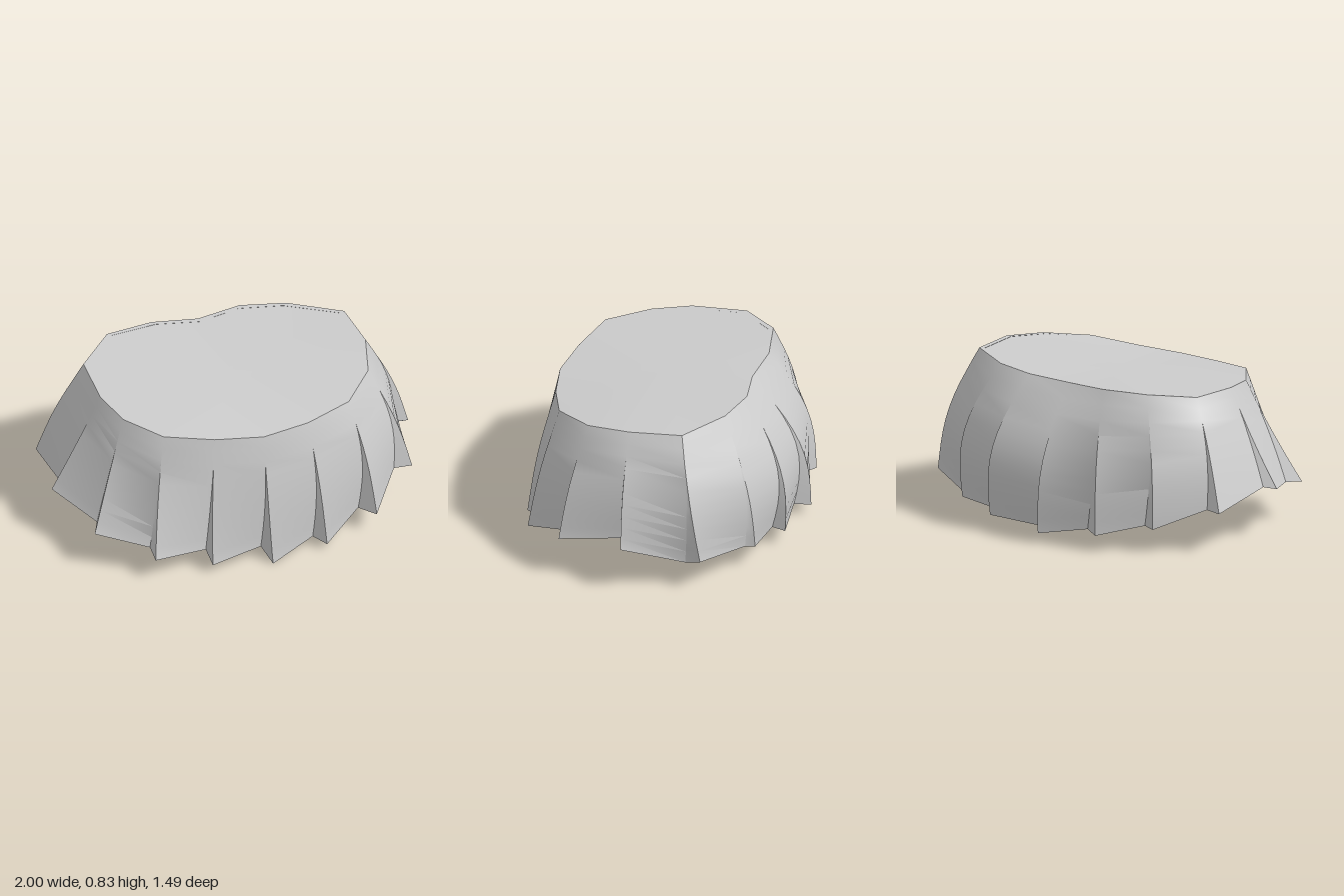
import * as THREE from 'three';
import { toCreasedNormals } from 'three/addons/utils/BufferGeometryUtils.js';

// Waist rim, one point per pleat, counterclockwise from the front centre: x, y, z
const RIM = [
  [0.02, 0.74, 0.61], [0.28, 0.75, 0.57], [0.53, 0.78, 0.49], [0.70, 0.81, 0.29],
  [0.76, 0.835, 0.05], [0.73, 0.835, -0.23], [0.46, 0.83, -0.40], [0.22, 0.825, -0.46],
  [-0.02, 0.81, -0.43], [-0.27, 0.82, -0.46], [-0.53, 0.825, -0.42], [-0.72, 0.80, -0.23],
  [-0.72, 0.79, 0.07], [-0.66, 0.775, 0.28], [-0.50, 0.77, 0.49], [-0.24, 0.75, 0.57],
];
// Outer hem corner of each pleat
const TIP = [
  [0.03, 0.0, 0.74], [0.34, 0.04, 0.71], [0.64, 0.12, 0.635], [0.91, 0.22, 0.40],
  [1.0, 0.25, 0.04], [0.90, 0.175, -0.37], [0.57, 0.12, -0.59], [0.31, 0.085, -0.69],
  [-0.05, 0.055, -0.745], [-0.39, 0.085, -0.69], [-0.66, 0.13, -0.54], [-0.95, 0.22, -0.34],
  [-1.0, 0.27, 0.10], [-0.88, 0.21, 0.48], [-0.61, 0.13, 0.70], [-0.30, 0.05, 0.725],
];
// Inner hem corner where each pleat tucks under the next
const NOTCH = [
  [0.28, 0.06, 0.645], [0.56, 0.13, 0.56], [0.81, 0.22, 0.395], [0.91, 0.27, 0.06],
  [0.86, 0.14, -0.28], [0.59, 0.125, -0.54], [0.31, 0.10, -0.62], [-0.01, 0.07, -0.66],
  [-0.31, 0.10, -0.65], [-0.60, 0.14, -0.53], [-0.87, 0.23, -0.34], [-0.94, 0.28, 0.06],
  [-0.84, 0.22, 0.39], [-0.62, 0.17, 0.63], [-0.31, 0.09, 0.63], [-0.01, 0.06, 0.65],
];
const COUNT = RIM.length, ROWS = 10, THICK = 0.03;
const vec = (p) => new THREE.Vector3(...p);

// Triangles that collapse to a line are dropped
function addTri(out, a, b, c) {
  const area = b.clone().sub(a).cross(c.clone().sub(a)).length();
  if (area > 1e-7) for (const p of [a, b, c]) out.push(p.x, p.y, p.z);
}

function addQuad(out, a, b, c, d) {
  addTri(out, a, b, c);
  addTri(out, a, c, d);
}

function makeMesh(name, positions, material, crease) {
  const geometry = new THREE.BufferGeometry();
  geometry.setAttribute('position', new THREE.Float32BufferAttribute(positions, 3));
  const mesh = new THREE.Mesh(toCreasedNormals(geometry, crease), material);
  mesh.name = name;
  return mesh;
}

// One vertical line of cloth from rim to hem; pleats open gradually towards the hem
function makeColumn(rim, hem, partner) {
  const middle = hem.clone().add(partner).multiplyScalar(0.5);
  const out = new THREE.Vector3(rim.x, 0, rim.z).normalize();
  const bulge = 0.02 + 0.09 * Math.max(0, -out.z) + 0.02 * out.x;
  const column = [];
  for (let r = 0; r <= ROWS; r++) {
    const t = r / ROWS;
    const open = t <= 0.2 ? 0 : Math.pow((t - 0.2) / 0.8, 0.8);
    const target = middle.clone().lerp(hem, open);
    column.push(rim.clone().lerp(target, t).addScaledVector(out, bulge * Math.sin(Math.PI * t)));
  }
  return column;
}

// Offset towards the vertical axis, for the lining
function inset(p) {
  const radius = Math.hypot(p.x, p.z), k = (radius - THICK) / radius;
  return new THREE.Vector3(p.x * k, p.y, p.z * k);
}

export function createModel() {
  const model = new THREE.Group();
  model.name = 'pleatedSkirt';
  const cloth = new THREE.MeshStandardMaterial({ color: 0xcccccc });
  cloth.name = 'light grey cloth';

  // Two columns per pleat: its tip and its notch
  const columns = [];
  for (let i = 0; i < COUNT; i++) {
    const next = (i + 1) % COUNT, prev = (i + COUNT - 1) % COUNT;
    columns.push(makeColumn(vec(RIM[i]), vec(TIP[i]), vec(NOTCH[prev])));
    columns.push(makeColumn(vec(RIM[next]), vec(NOTCH[i]), vec(TIP[next])));
  }
  const lining = columns.map((column) => column.map(inset));

  // Outer cloth, lining and hem edge
  const outer = [], inner = [], hem = [];
  columns.forEach((a, i) => {
    const j = (i + 1) % columns.length;
    const b = columns[j], c = lining[i], d = lining[j];
    for (let r = 0; r < ROWS; r++) {
      addQuad(outer, a[r], a[r + 1], b[r + 1], b[r]);
      addQuad(inner, c[r], d[r], d[r + 1], c[r + 1]);
    }
    addQuad(hem, a[ROWS], c[ROWS], d[ROWS], b[ROWS]);
  });
  model.add(makeMesh('pleatedCloth', outer, cloth, 0.7));
  model.add(makeMesh('lining', inner, cloth, 0.9));
  model.add(makeMesh('hemEdge', hem, cloth, 0.3));

  // Waist cap, closed above and below
  const top = [], under = [];
  const centre = new THREE.Vector3(0, 0.79, 0.05);
  const drop = new THREE.Vector3(0, -THICK, 0);
  for (let i = 0; i < COUNT; i++) {
    const a = vec(RIM[i]), b = vec(RIM[(i + 1) % COUNT]);
    addTri(top, centre, a, b);
    addTri(under, centre.clone().add(drop), inset(b).add(drop), inset(a).add(drop));
  }
  model.add(makeMesh('waistCap', top, cloth, 0.5));
  model.add(makeMesh('waistCapUnderside', under, cloth, 0.5));
  return model;
}
